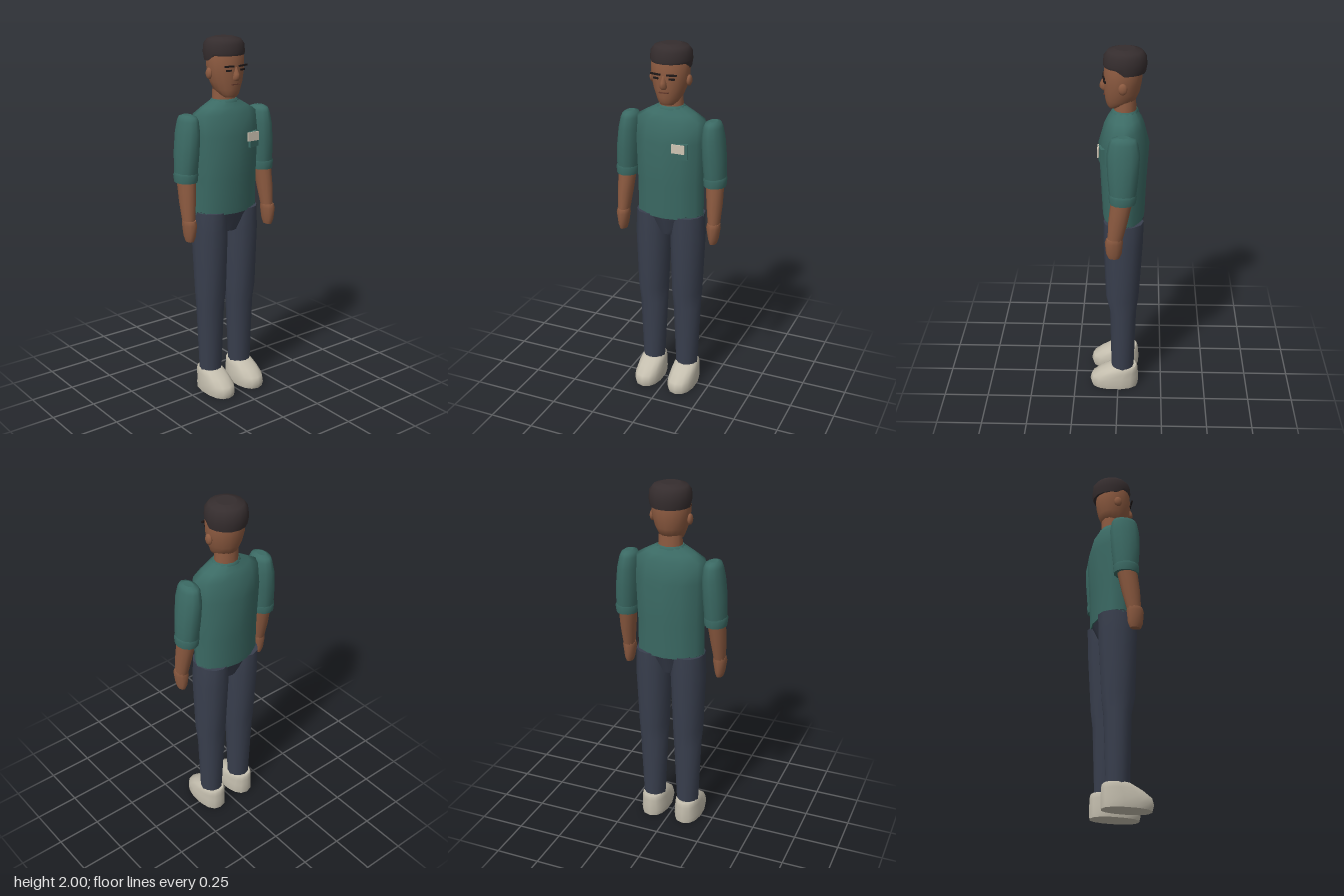
import * as THREE from 'three';

const mat = (name, color) => Object.assign(new THREE.MeshStandardMaterial({ color }), { name });

// Loft of oval rings; each section is [y, xMin, xMax, zBack, zFront], bottom to top
function loft(sections, n = 12, square = 1) {
  const pos = [], idx = [];
  const ring = ([y, x0, x1, z0, z1]) => {
    for (let i = 0; i < n; i++) {
      const a = (i / n) * Math.PI * 2, s = Math.sin(a), c = Math.cos(a);
      const bend = (v) => Math.sign(v) * Math.abs(v) ** square;
      pos.push((x0 + x1) / 2 + (bend(s) * (x1 - x0)) / 2, y, (z0 + z1) / 2 + (bend(c) * (z1 - z0)) / 2);
    }
  };
  sections.forEach(ring);
  for (let r = 0; r < sections.length - 1; r++) {
    for (let i = 0; i < n; i++) {
      const a = r * n + i, b = r * n + ((i + 1) % n);
      idx.push(a, b, b + n, a, b + n, a + n);
    }
  }
  // Caps get their own vertices so their edges stay sharp
  [[sections[0], true], [sections[sections.length - 1], false]].forEach(([s, down]) => {
    const base = pos.length / 3;
    ring(s);
    for (let i = 1; i < n - 1; i++) {
      if (down) idx.push(base, base + i + 1, base + i);
      else idx.push(base, base + i, base + i + 1);
    }
  });
  const g = new THREE.BufferGeometry();
  g.setAttribute('position', new THREE.Float32BufferAttribute(pos, 3));
  g.setIndex(idx);
  g.computeVertexNormals();
  return g;
}

// Symmetric section about x = 0
const mid = (y, rx, back, front) => [y, -rx, rx, back, front];

export function createModel() {
  const root = new THREE.Group();
  root.name = 'standingMan';
  const skin = mat('skin', 0x8c5a40);
  const shirt = mat('shirtTeal', 0x3b6a64);
  const trousers = mat('trouserNavy', 0x393f4e);
  const hairMat = mat('hairDark', 0x352d2e);
  const shoeMat = mat('shoeCream', 0xc4beae);
  const badgeMat = mat('badgeIvory', 0xcfc5b4);
  const dark = mat('featureDark', 0x1f1818);
  const lip = mat('lipBrown', 0x643a2c);

  const add = (name, geometry, material, x = 0, y = 0, z = 0) => {
    const m = new THREE.Mesh(geometry, material);
    m.name = name;
    m.position.set(x, y, z);
    root.add(m);
    return m;
  };

  // Shirt body and collar
  add('shirtBody', loft([
    mid(1.06, 0.195, -0.14, 0.085),
    mid(1.09, 0.193, -0.142, 0.087),
    mid(1.25, 0.193, -0.148, 0.095),
    mid(1.49, 0.2, -0.163, 0.106),
    mid(1.6, 0.198, -0.135, 0.075),
    mid(1.635, 0.14, -0.115, 0.055),
    mid(1.67, 0.075, -0.095, 0.035),
  ], 12), shirt);
  add('collar', loft([
    mid(1.645, 0.083, -0.103, 0.043),
    mid(1.665, 0.08, -0.1, 0.04),
    mid(1.675, 0.07, -0.092, 0.03),
  ], 14), shirt);

  // Chest pocket with badge
  const pocket = add('chestPocket', new THREE.BoxGeometry(0.07, 0.085, 0.02), shirt, 0.106, 1.458, 0.086);
  pocket.rotation.y = 0.22;
  add('badge', new THREE.BoxGeometry(0.072, 0.048, 0.008), badgeMat, 0.094, 1.476, 0.104);

  // Pelvis
  add('pelvis', loft([
    mid(0.95, 0.07, -0.09, 0.045),
    mid(1.04, 0.155, -0.125, 0.075),
    mid(1.075, 0.196, -0.14, 0.085),
  ], 12), trousers);

  // Neck and head
  add('neck', loft([
    mid(1.62, 0.07, -0.095, 0.03),
    mid(1.74, 0.062, -0.09, 0.02),
  ], 12), skin);
  add('head', loft([
    mid(1.688, 0.035, 0.0, 0.052),
    mid(1.705, 0.055, -0.045, 0.063),
    mid(1.73, 0.07, -0.09, 0.069),
    mid(1.77, 0.087, -0.108, 0.074),
    mid(1.83, 0.101, -0.12, 0.077),
    mid(1.9, 0.105, -0.125, 0.075),
    mid(1.96, 0.085, -0.1, 0.055),
  ], 16), skin);

  // Hair cap, cut higher over the forehead
  const hair = loft([
    mid(1.88, 0.106, -0.14, 0.078),
    mid(1.92, 0.112, -0.147, 0.08),
    mid(1.965, 0.108, -0.142, 0.076),
    mid(1.988, 0.09, -0.122, 0.058),
    mid(2.0, 0.052, -0.085, 0.02),
  ], 16);
  const hp = hair.attributes.position;
  for (let i = 0; i < hp.count; i++) {
    if (hp.getY(i) < 1.9 && hp.getZ(i) > 0) hp.setY(i, 1.908);
  }
  hair.computeVertexNormals();
  add('hair', hair, hairMat);

  // Face
  add('nose', loft([
    mid(1.778, 0.014, 0.05, 0.084),
    mid(1.793, 0.021, 0.05, 0.099),
    mid(1.815, 0.016, 0.05, 0.096),
    mid(1.85, 0.008, 0.05, 0.079),
  ], 8), skin);
  add('mouth', new THREE.BoxGeometry(0.05, 0.006, 0.008), lip, 0, 1.76, 0.072);

  for (const s of [1, -1]) {
    const side = s > 0 ? 'left' : 'right';
    // Mirror the x bounds of each section for the other side
    const part = (name, sections, material, n = 12, square = 1) => add(side + name,
      loft(sections.map(([y, a, b, c, d]) => (s > 0 ? [y, a, b, c, d] : [y, -b, -a, c, d])), n, square), material);

    const brow = add(side + 'Eyebrow', new THREE.BoxGeometry(0.056, 0.009, 0.009), dark, s * 0.045, 1.856, 0.075);
    brow.rotation.set(0, s * 0.12, s * 0.04);
    const eye = add(side + 'Eye', new THREE.BoxGeometry(0.032, 0.009, 0.008), dark, s * 0.044, 1.834, 0.07);
    eye.rotation.y = s * 0.25;
    const ear = add(side + 'Ear', new THREE.SphereGeometry(1, 10, 8), skin, s * 0.104, 1.815, -0.024);
    ear.scale.set(0.014, 0.03, 0.024);

    // Arm
    part('Sleeve', [
      [1.265, 0.2, 0.31, -0.09, 0.035],
      [1.3, 0.195, 0.316, -0.098, 0.042],
      [1.42, 0.185, 0.312, -0.11, 0.053],
      [1.52, 0.182, 0.3, -0.115, 0.055],
      [1.58, 0.188, 0.287, -0.104, 0.044],
      [1.602, 0.198, 0.278, -0.092, 0.032],
      [1.612, 0.218, 0.262, -0.062, 0.002],
    ], shirt);
    part('SleeveCuff', [
      [1.256, 0.196, 0.317, -0.096, 0.042],
      [1.295, 0.192, 0.321, -0.101, 0.046],
      [1.31, 0.198, 0.315, -0.095, 0.04],
    ], shirt);
    part('Forearm', [
      [1.03, 0.238, 0.3, -0.024, 0.052],
      [1.15, 0.222, 0.307, -0.055, 0.047],
      [1.28, 0.207, 0.307, -0.082, 0.033],
    ], skin);
    part('Hand', [
      [0.935, 0.25, 0.288, -0.012, 0.048],
      [0.965, 0.241, 0.297, -0.024, 0.06],
      [1.03, 0.23, 0.307, -0.03, 0.066],
      [1.052, 0.234, 0.303, -0.028, 0.058],
    ], skin, 10);

    // Leg and shoe
    part('TrouserLeg', [
      [0.125, 0.04, 0.166, -0.09, 0.038],
      [0.5, 0.022, 0.182, -0.102, 0.046],
      [0.6, 0.017, 0.188, -0.115, 0.068],
      [0.94, 0.006, 0.2, -0.135, 0.08],
      [1.07, 0.012, 0.194, -0.138, 0.08],
    ], trousers);
    part('Shoe', [
      [0, 0.028, 0.178, -0.115, 0.155],
      [0.03, 0.024, 0.182, -0.117, 0.163],
      [0.065, 0.027, 0.179, -0.117, 0.154],
      [0.1, 0.032, 0.175, -0.114, 0.105],
      [0.122, 0.037, 0.17, -0.112, 0.063],
      [0.132, 0.045, 0.163, -0.105, 0.045],
    ], shoeMat, 14, 0.85);
  }
  return root;
}
